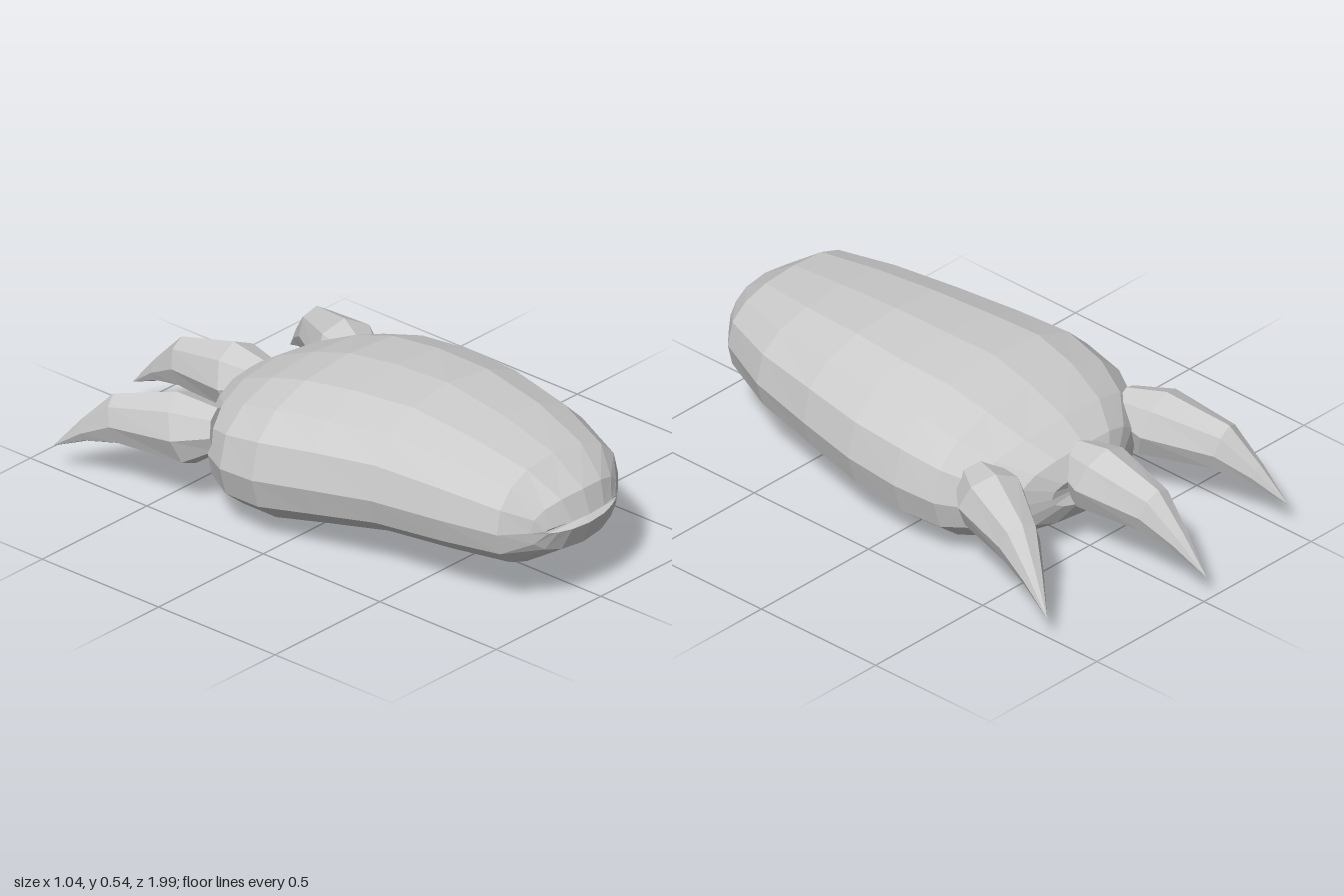
import * as THREE from 'three';

const material = new THREE.MeshStandardMaterial({ color: 0xcccccc, flatShading: true });

// Skin a list of equal-sized rings (ordered front to back) and close both ends.
function loft(name, rings) {
  const n = rings[0].length, index = [];
  const points = rings.flat();
  const last = (rings.length - 1) * n;
  const centre = ring => ring.reduce((s, p) => s.add(p), new THREE.Vector3()).divideScalar(n);
  points.push(centre(rings[0]), centre(rings[rings.length - 1]));
  for (let j = 0; j < n; j++) {
    const k = (j + 1) % n;
    for (let i = 0; i < last; i += n) {
      index.push(i + j, i + n + j, i + k, i + k, i + n + j, i + n + k);
    }
    index.push(last + n, j, k, last + n + 1, last + k, last + j);
  }
  const geometry = new THREE.BufferGeometry().setFromPoints(points);
  geometry.setIndex(index);
  geometry.computeVertexNormals();
  const mesh = new THREE.Mesh(geometry, material);
  mesh.name = name;
  return mesh;
}

// Rounded-square cosine/sine: power below 1 makes the section boxier.
const soft = (v, power) => Math.sign(v) * Math.abs(v) ** power;

// Foot sections: z, xMin, xMax, yMin, yMid, yMax, bow (z shift at the sides)
const FOOT = [
  [0.99, -0.21, 0.13, 0.28, 0.295, 0.31, -0.04],
  [0.96, -0.25, 0.17, 0.20, 0.295, 0.39, -0.04],
  [0.83, -0.33, 0.25, 0.125, 0.295, 0.475, 0.02],
  [0.59, -0.37, 0.35, 0.10, 0.29, 0.515, 0.04],
  [0.34, -0.40, 0.41, 0.08, 0.28, 0.54, 0.03],
  [0.12, -0.45, 0.445, 0.04, 0.26, 0.535, 0.02],
  [-0.06, -0.49, 0.445, 0.005, 0.24, 0.52, 0],
  [-0.21, -0.475, 0.42, 0.002, 0.225, 0.475, 0],
  [-0.36, -0.42, 0.36, 0.04, 0.22, 0.41, 0.05],
  [-0.455, -0.30, 0.25, 0.10, 0.22, 0.35, 0.04],
  [-0.495, -0.20, 0.14, 0.17, 0.22, 0.28, 0.03],
];

function footRing([z, x0, x1, y0, ym, y1, bow], sides = 16) {
  return Array.from({ length: sides }, (_, j) => {
    const a = (j / sides) * Math.PI * 2;
    const u = soft(Math.cos(a), 0.84), v = soft(Math.sin(a), 0.84);
    return new THREE.Vector3(
      (x0 + x1) / 2 + u * (x1 - x0) / 2,
      ym + v * (v > 0 ? y1 - ym : ym - y0),
      z + bow * u * u);
  });
}

// Claw sections: distance along claw, half width, yMin, yMax, lean of the top
const CLAW = [
  [0, 0.075, 0.21, 0.36, 0.01],
  [0.12, 0.115, 0.145, 0.385, 0.035],
  [0.36, 0.07, 0.155, 0.325, 0.02],
  [0.48, 0.035, 0.135, 0.21, 0.01],
  [0.59, 0.001, 0.089, 0.091, 0],
];

function claw(name, [bx, bz], [tx, tz], sides = 8) {
  const length = Math.hypot(tx - bx, tz - bz);
  const dx = (tx - bx) / length, dz = (tz - bz) / length;
  const rings = CLAW.map(([s, w, y0, y1, lean]) =>
    Array.from({ length: sides }, (_, j) => {
      const a = (j / sides) * Math.PI * 2;
      const side = Math.cos(a) * w;
      const along = s * length / 0.59 + Math.sin(a) * lean;
      return new THREE.Vector3(
        bx + dx * along - dz * side,
        (y0 + y1) / 2 + Math.sin(a) * (y1 - y0) / 2,
        bz + dz * along + dx * side);
    }));
  return loft(name, rings);
}

export function createModel() {
  const group = new THREE.Group();
  group.name = 'clawedFoot';
  group.add(
    loft('foot', FOOT.map(section => footRing(section))),
    claw('leftClaw', [0.28, -0.27], [0.52, -0.80]),
    claw('middleClaw', [-0.015, -0.41], [-0.01, -1.0]),
    claw('rightClaw', [-0.355, -0.315], [-0.51, -0.89]),
  );
  return group;
}
